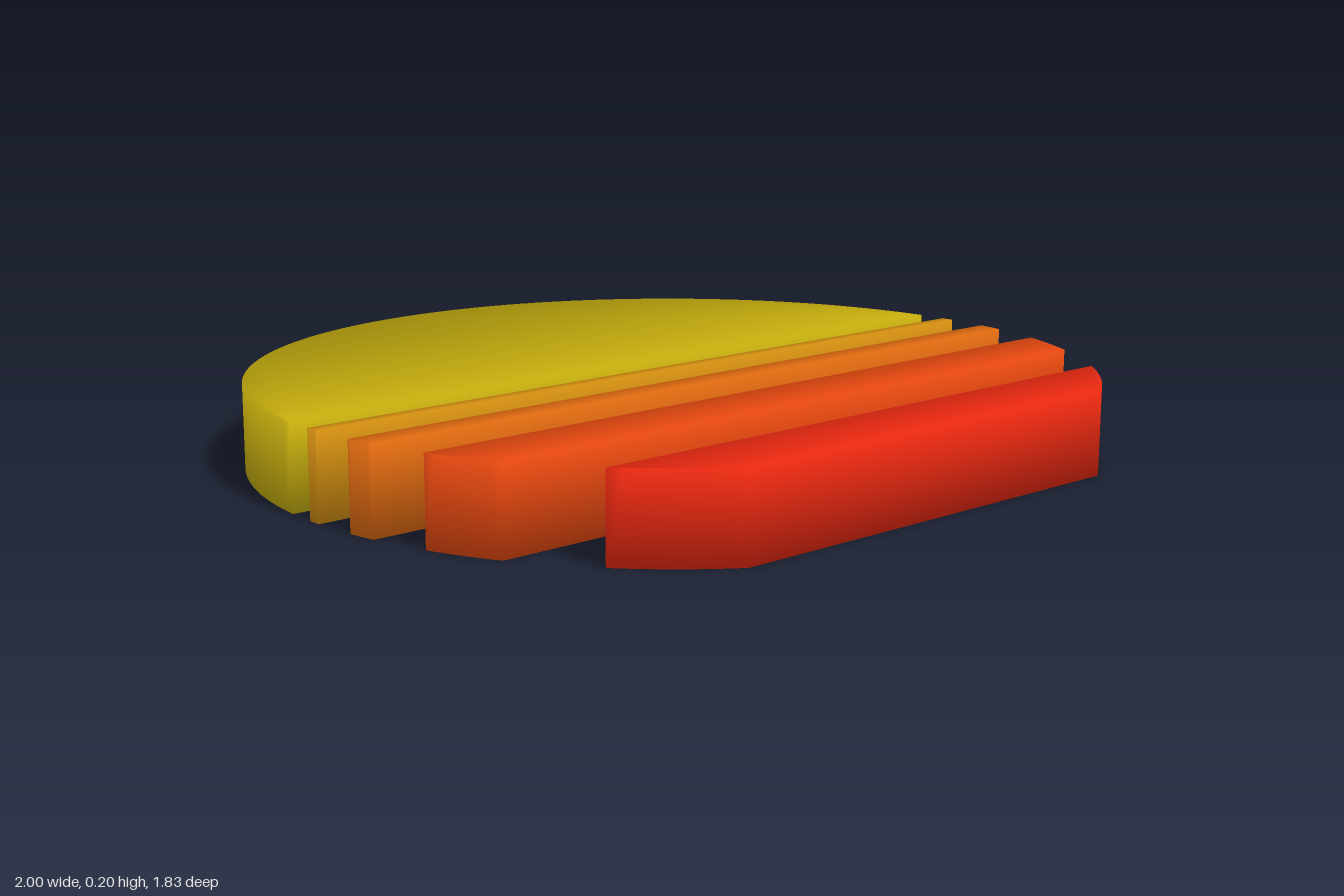
import * as THREE from 'three';

const HEIGHT = 0.2;   // thickness of the disc
const CENTRE = 0.083; // z of the disc's centre, radius 1

// One slice of the disc, outlined by arcs [from, to, segments] joined by straight cuts.
function sliceGeometry(arcs) {
  const ring = [], index = [], spans = [];
  for (const [from, to, segments] of arcs) {
    spans.push([ring.length, ring.length + segments]);
    for (let i = 0; i <= segments; i++) {
      const t = THREE.MathUtils.lerp(from, to, i / segments);
      ring.push(new THREE.Vector2(Math.cos(t), CENTRE + Math.sin(t)));
    }
  }
  const n = ring.length;

  // Top and bottom rings, with normals blended softly over every edge
  const outward = (a, b) => new THREE.Vector2(a.y - b.y, b.x - a.x).normalize();
  const positions = [], normals = [];
  for (const up of [1, -1]) {
    ring.forEach((p, i) => {
      const side = outward(ring[(i + n - 1) % n], p).add(outward(p, ring[(i + 1) % n])).normalize();
      const normal = new THREE.Vector3(side.x, up, side.y).normalize();
      positions.push(p.x, up > 0 ? HEIGHT : 0, p.y);
      normals.push(normal.x, normal.y, normal.z);
    });
  }

  // Caps: halve each arc into triangles, then fill between two arcs
  const cap = (a, b, c) => index.push(a, b, c, n + a, n + c, n + b);
  const fillArc = (a, b) => {
    if (b - a < 2) return;
    const mid = (a + b) >> 1;
    cap(a, mid, b);
    fillArc(a, mid);
    fillArc(mid, b);
  };
  spans.forEach(([a, b]) => fillArc(a, b));
  if (spans.length === 2) {
    const [[a, b], [c, d]] = spans;
    cap(a, b, c);
    cap(a, c, d);
  }

  // Walls
  for (let i = 0; i < n; i++) {
    const j = (i + 1) % n;
    index.push(n + i, n + j, j, n + i, j, i);
  }

  const geometry = new THREE.BufferGeometry();
  geometry.setAttribute('position', new THREE.Float32BufferAttribute(positions, 3));
  geometry.setAttribute('normal', new THREE.Float32BufferAttribute(normals, 3));
  geometry.setIndex(index);
  return geometry;
}

export function createModel() {
  const group = new THREE.Group();
  group.name = 'slicedSun';
  const angleAt = (z) => Math.asin(z - CENTRE);
  const add = (name, color, arcs) => {
    const mesh = new THREE.Mesh(sliceGeometry(arcs), new THREE.MeshStandardMaterial({ color }));
    mesh.name = name;
    group.add(mesh);
  };

  // Large dome at the back
  const start = angleAt(-0.008);
  add('dome', 0xc9b00e, [[start, -Math.PI - start, 96]]);

  // Bars that grow thicker towards the front: back z, front z, colour
  const bars = [
    ['thinnestBar', 0.064, 0.097, 0xd48f10],
    ['thinBar', 0.203, 0.271, 0xe06a10],
    ['mediumBar', 0.403, 0.563, 0xe6480f],
    ['thickBar', 0.734, 0.917, 0xe82810],
  ];
  for (const [name, back, front, color] of bars) {
    const b = angleAt(back), f = angleAt(front);
    add(name, color, [[f, b, 8], [-Math.PI - b, -Math.PI - f, 8]]);
  }
  return group;
}
